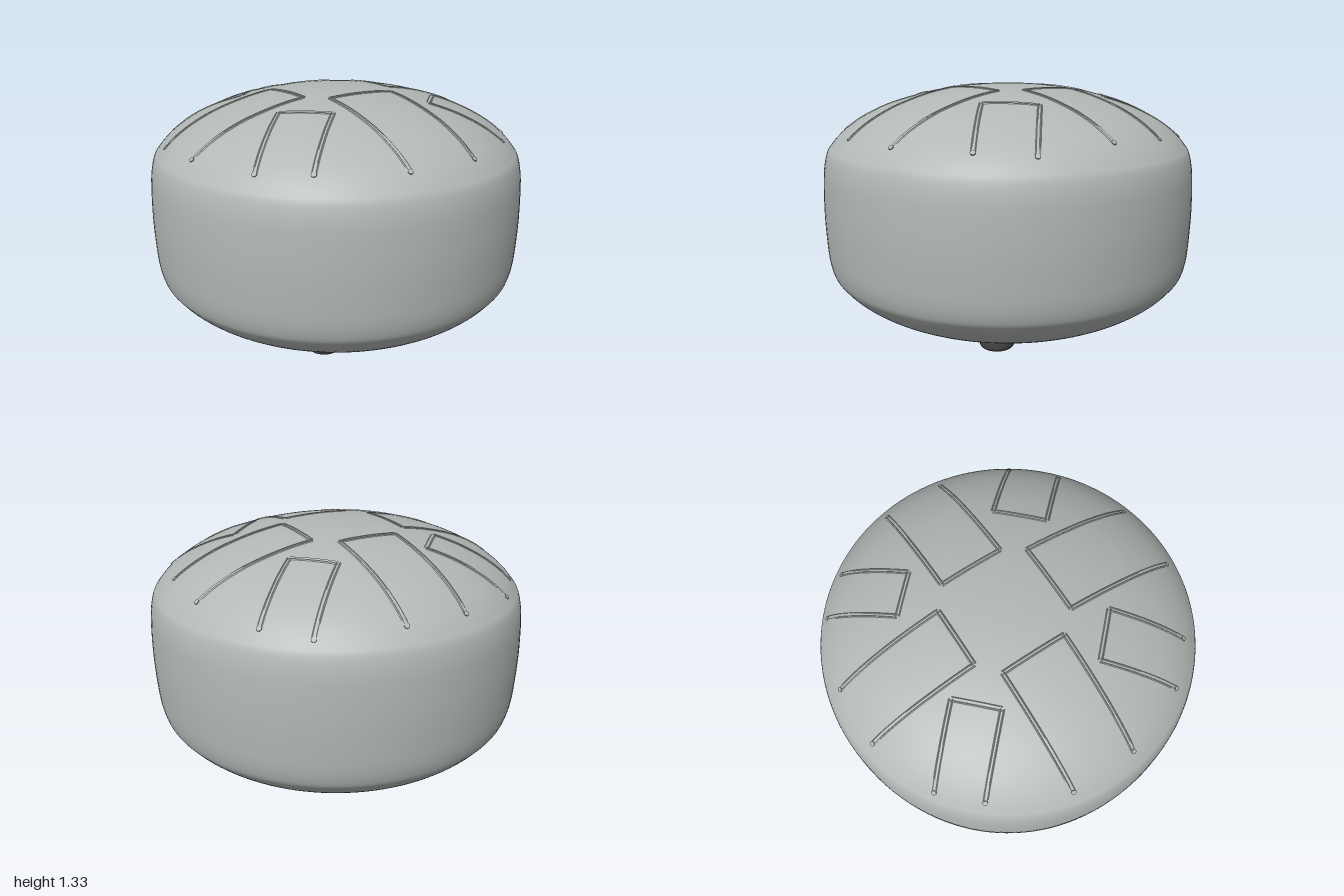
import * as THREE from 'three';

const steel = new THREE.MeshStandardMaterial({ color: 0xb2b8b6 });
steel.name = 'steel grey';
const rubber = new THREE.MeshStandardMaterial({ color: 0x464646 });
rubber.name = 'dark rubber';

const v2 = (x, y) => new THREE.Vector2(x, y);
const HOLE = 0.36, CAP = 0.455, TOP_MID = 0.87, LOW_MID = 0.452;

// Outer profile: elliptical underside and dome joined by a slightly bulging wall
const cap = r => CAP * Math.sqrt(1 - r * r);
const outer = new THREE.SplineCurve([
  ...[HOLE, 0.48, 0.6, 0.7, 0.79, 0.86, 0.91, 0.945, 0.97].map(r => v2(r, LOW_MID - cap(r))),
  v2(0.988, 0.415), v2(0.996, 0.52), v2(1, 0.665), v2(0.996, 0.81), v2(0.988, 0.905),
  ...[0.97, 0.945, 0.91, 0.86, 0.79, 0.7, 0.6, 0.45, 0.3, 0.15, 0].map(r => v2(r, TOP_MID + cap(r))),
]).getPoints(110);
outer[outer.length - 1].x = 0;

// Height of the dome surface at a distance r from the axis
function domeHeight(r) {
  for (let i = outer.length - 1; i > 0; i--) {
    const a = outer[i], b = outer[i - 1];
    if (r <= b.x) return a.y + (b.y - a.y) * (r - a.x) / (b.x - a.x);
  }
  return 0.665;
}

function add(parent, name, geometry, material) {
  const mesh = new THREE.Mesh(geometry, material);
  mesh.name = name;
  parent.add(mesh);
  return mesh;
}

// Channel section across a slot: offset from its middle line, height above the dome
const channel = [[-0.012, 0], [-0.008, 0.004], [-0.005, 0.0015], [0.005, 0.0015], [0.008, 0.004], [0.012, 0]];

// Narrow channel that follows the dome between two points in plan (x, z)
function drapedChannel(a, b, steps = 28) {
  const d = b.clone().sub(a).normalize();
  const e = v2(-d.y, d.x);
  const n = channel.length, pos = [], index = [];
  for (let i = 0; i <= steps; i++) {
    const p = a.clone().lerp(b, i / steps);
    for (const [offset, height] of channel) {
      const q = p.clone().addScaledVector(e, offset);
      pos.push(q.x, domeHeight(q.length()) + height, q.y);
    }
    if (i === steps) break;
    for (let j = 0; j < n - 1; j++) {
      const k = i * n + j;
      index.push(k, k + 1, k + n, k + 1, k + n + 1, k + n);
    }
  }
  const indexed = new THREE.BufferGeometry();
  indexed.setAttribute('position', new THREE.Float32BufferAttribute(pos, 3));
  indexed.setIndex(index);
  const g = indexed.toNonIndexed();
  g.computeVertexNormals();
  return g;
}

// Each tongue: outer end, two inner corners, outer end, in plan (x, z)
const tongues = [
  [[-0.19, 0.865], [-0.19, 0.232], [0.187, 0.232], [0.187, 0.865]],
  [[-0.173, -0.885], [-0.173, -0.3], [0.147, -0.3], [0.147, -0.885]],
  [[-0.885, -0.213], [-0.28, -0.213], [-0.28, 0.132], [-0.885, 0.132]],
  [[0.85, -0.215], [0.255, -0.215], [0.255, 0.12], [0.85, 0.12]],
  [[-0.527, -0.76], [-0.243, -0.473], [-0.414, -0.302], [-0.7, -0.585]],
  [[0.53, -0.76], [0.25, -0.473], [0.42, -0.307], [0.7, -0.58]],
  [[-0.75, 0.495], [-0.468, 0.21], [-0.28, 0.398], [-0.564, 0.68]],
  [[0.75, 0.495], [0.484, 0.227], [0.286, 0.422], [0.553, 0.69]],
];

export function createModel() {
  const model = new THREE.Group();
  model.name = 'tongueDrum';

  // Hollow shell with a round opening underneath
  add(model, 'outerShell', new THREE.LatheGeometry(outer, 128), steel);
  const inner = outer.map(p => v2(p.x * 0.95, 0.665 + (p.y - 0.665) * 0.92));
  inner[0].x = HOLE;
  const lining = inner.filter((p, i) => i === 0 || p.y > 0.665 || p.x > HOLE + 0.005);
  add(model, 'innerShell', new THREE.LatheGeometry(lining.reverse(), 96), steel);
  add(model, 'openingRim',
    new THREE.LatheGeometry([v2(HOLE, inner[0].y), v2(HOLE, outer[0].y)], 128), steel);

  // Slots around the tongues, with a small round stop at each outer end
  const slots = new THREE.Group();
  slots.name = 'tongueSlots';
  model.add(slots);
  for (const tongue of tongues) {
    const pts = tongue.map(p => v2(...p));
    for (let i = 0; i < 3; i++) {
      add(slots, 'slot', drapedChannel(pts[i], pts[i + 1]), steel);
    }
    for (const p of [pts[0], pts[3]]) {
      const r = p.length(), h = 0.01;
      const slope = Math.atan((domeHeight(r - h) - domeHeight(r + h)) / (2 * h));
      const stop = add(slots, 'slotEnd', new THREE.CylinderGeometry(0.013, 0.013, 0.009, 12), steel);
      stop.position.set(p.x, domeHeight(r), p.y);
      stop.rotation.y = Math.atan2(p.x, p.y);
      stop.rotateX(slope);
    }
  }

  // Four rubber feet, flat below with a rounded edge
  const footProfile = [[0, 0], [0.066, 0], [0.07, 0.0005], [0.08, 0.005], [0.088, 0.014], [0.092, 0.026],
    [0.092, 0.052], [0.09, 0.06], [0.084, 0.065], [0.078, 0.066], [0, 0.066]].map(p => v2(...p));
  const footGeometry = new THREE.LatheGeometry(footProfile, 32);
  for (const x of [-0.302, 0.302]) {
    for (const z of [-0.343, 0.343]) {
      add(model, 'foot', footGeometry, rubber).position.set(x, 0, z);
    }
  }
  return model;
}
